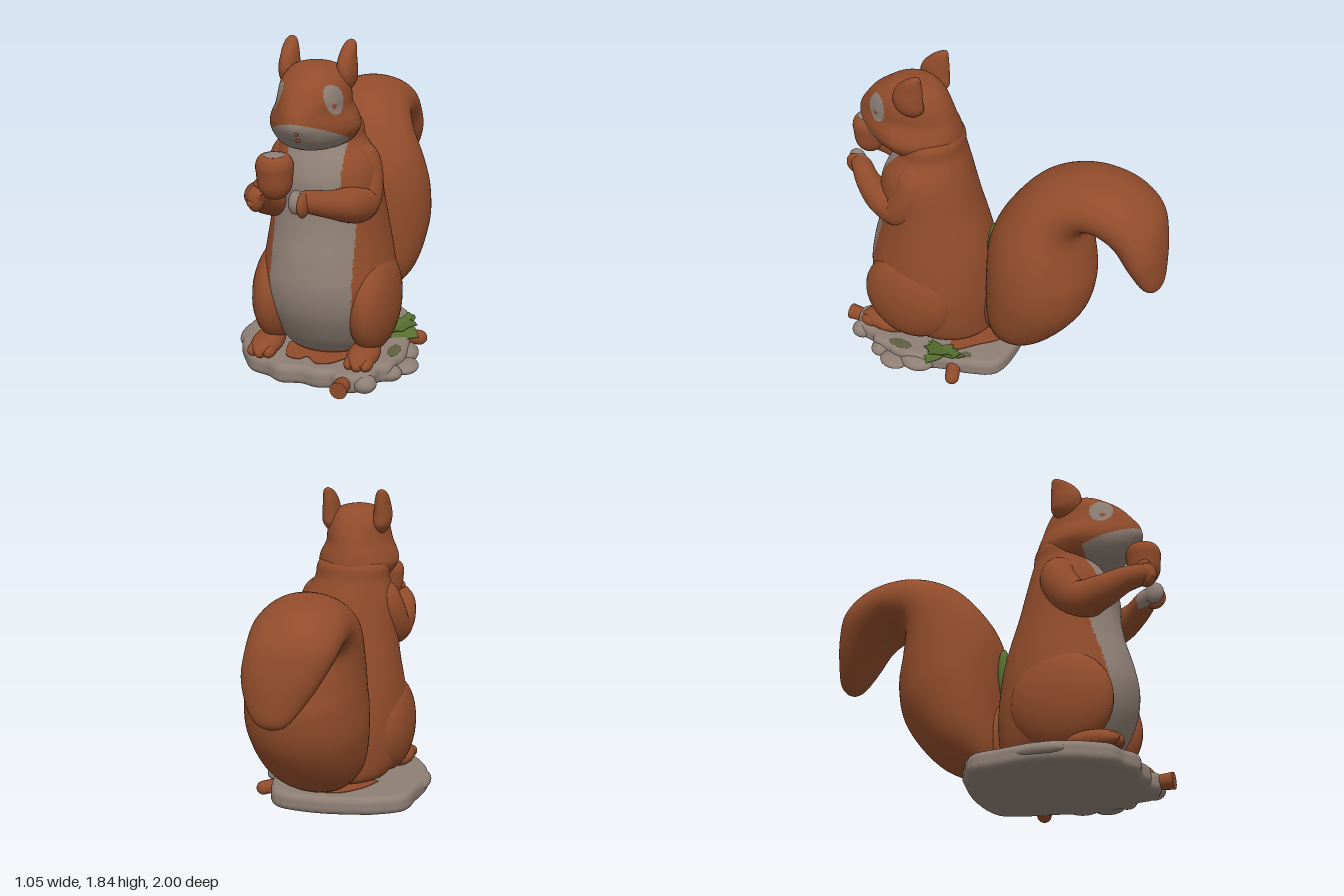
import * as THREE from 'three';

const material = (name, color) => {
  const m = new THREE.MeshStandardMaterial({ color });
  m.name = name;
  return m;
};

// Catmull-Rom blend through a list of number rows
function sample(rows, t) {
  const f = t * (rows.length - 1), i = Math.min(Math.floor(f), rows.length - 2), u = f - i;
  const at = k => rows[Math.max(0, Math.min(rows.length - 1, k))];
  const [a, b, c, d] = [at(i - 1), at(i), at(i + 1), at(i + 2)];
  return b.map((_, k) => 0.5 * (2 * b[k] + (c[k] - a[k]) * u
    + (2 * a[k] - 5 * b[k] + 4 * c[k] - d[k]) * u * u
    + (3 * b[k] - a[k] - 3 * c[k] + d[k]) * u * u * u));
}

// Skin of closed rings; point(t, angle) gives a position, pick gives each face's colour
function skin(point, steps, sides, pick) {
  const pos = [], faces = [[], []], v = [];
  for (let i = 0; i <= steps; i++)
    for (let j = 0; j < sides; j++) {
      const p = point(i / steps, j / sides * Math.PI * 2);
      v.push(p);
      pos.push(p.x, p.y, p.z);
    }
  const tris = [];
  for (let i = 0; i < steps; i++)
    for (let j = 0; j < sides; j++) {
      const k = (j + 1) % sides, a = i * sides + j, b = i * sides + k, c = a + sides, d = b + sides;
      tris.push([a, c, b], [b, c, d]);
    }
  // keep faces outward by the sign of the volume
  let volume = 0;
  const cross = new THREE.Vector3();
  for (const [a, b, c] of tris) volume += v[a].dot(cross.crossVectors(v[b], v[c]));
  for (const [a, b, c] of tris) {
    const mid = v[a].clone().add(v[b]).add(v[c]).divideScalar(3);
    faces[pick && pick(mid) ? 1 : 0].push(...(volume < 0 ? [a, c, b] : [a, b, c]));
  }
  const g = new THREE.BufferGeometry();
  g.setAttribute('position', new THREE.Float32BufferAttribute(pos, 3));
  g.setIndex([...faces[0], ...faces[1]]);
  g.addGroup(0, faces[0].length, 0);
  g.addGroup(faces[0].length, faces[1].length, 1);
  g.computeVertexNormals();
  return g;
}

// Stacked rings: [y, back z, front z, centre x, half width, front taper]
const stack = (rows, steps, sides, pick) => skin((t, a) => {
  const [y, zb, zf, cx, hw, taper] = sample(rows, t), s = Math.sin(a);
  return new THREE.Vector3(cx + Math.max(hw, 0.001) * Math.cos(a) * (1 - taper * Math.max(0, s)),
    y, (zb + zf) / 2 + (zf - zb) / 2 * s);
}, steps, sides, pick);

// Round limb along points: [x, y, z, radius]
function limb(rows, pick) {
  return skin((t, a) => {
    const [x, y, z, r] = sample(rows, t);
    const p = sample(rows, Math.max(0, t - 0.02)), q = sample(rows, Math.min(1, t + 0.02));
    const dir = new THREE.Vector3(q[0] - p[0], q[1] - p[1], q[2] - p[2]).normalize();
    const side = new THREE.Vector3(1, 0.1, 0.25).cross(dir).normalize();
    const up = dir.clone().cross(side);
    return new THREE.Vector3(x, y, z).addScaledVector(side, r * Math.cos(a)).addScaledVector(up, r * Math.sin(a));
  }, 48, 28, pick);
}

export function createModel() {
  const fur = material('russet fur', 0x914c2b);
  const pale = material('pale grey', 0x8e7f75);
  const green = material('leaf green', 0x566f30);
  green.side = THREE.DoubleSide;
  const moss = material('moss', 0x5f6040);
  const model = new THREE.Group();
  const add = (name, geometry, mat, x = 0, y = 0, z = 0) => {
    const m = new THREE.Mesh(geometry, mat);
    m.name = name;
    m.position.set(x, y, z);
    model.add(m);
    return m;
  };
  const blob = (name, mat, x, y, z, rx, ry, rz) =>
    add(name, new THREE.SphereGeometry(1, 32, 20), mat, x, y, z).scale.set(rx, ry, rz);

  // Torso with pale bib
  add('torso', stack([
    [0.12, 0.1, 0.6, 0, 0.24, 0], [0.16, 0.04, 0.63, 0, 0.29, 0], [0.25, 0.03, 0.7, 0, 0.34, 0],
    [0.4, 0.02, 0.775, 0, 0.365, -0.05], [0.55, 0.03, 0.8, 0, 0.365, -0.05], [0.7, 0.05, 0.78, 0, 0.345, 0],
    [0.85, 0.09, 0.74, 0, 0.32, 0], [1, 0.14, 0.715, 0, 0.3, 0], [1.12, 0.175, 0.715, 0, 0.292, 0],
    [1.22, 0.205, 0.68, -0.005, 0.272, 0], [1.32, 0.24, 0.62, -0.025, 0.225, 0],
    [1.42, 0.27, 0.58, -0.03, 0.195, 0], [1.48, 0.42, 0.43, -0.03, 0.01, 0],
  ], 110, 140, p => p.z > 0.42 && p.y > 0.15 && Math.abs(p.x + 0.01) < (p.y < 1.05 ? 0.23 : 0.155)), [fur, pale]);

  // Head with pale muzzle and eye patches
  const eye = p => Math.abs(p.x + 0.03) > 0.07 && Math.hypot((p.z - 0.69) / 0.062, (p.y - 1.58) / 0.075) < 1;
  add('head', stack([
    [1.295, 0.44, 0.45, -0.03, 0.005, 0], [1.3, 0.3, 0.66, -0.03, 0.12, 0], [1.325, 0.26, 0.755, -0.035, 0.185, 0.1],
    [1.365, 0.26, 0.815, -0.035, 0.22, 0.2], [1.41, 0.26, 0.855, -0.035, 0.24, 0.28],
    [1.46, 0.27, 0.883, -0.035, 0.23, 0.33], [1.52, 0.29, 0.872, -0.035, 0.2, 0.27],
    [1.58, 0.31, 0.83, -0.03, 0.188, 0.14], [1.64, 0.34, 0.78, -0.03, 0.175, 0.08],
    [1.69, 0.38, 0.71, -0.03, 0.145, 0], [1.725, 0.44, 0.65, -0.03, 0.1, 0], [1.743, 0.56, 0.565, -0.03, 0.002, 0],
  ], 120, 140, p => {
    const dot = Math.hypot(p.z - 0.7, p.y - 1.55) < 0.014;
    const muzzle = p.z > 0.59 && p.y < 1.49 - (0.885 - p.z) * 0.45;
    return muzzle || (eye(p) && !dot);
  }), [fur, pale]);
  for (const [y, z] of [[1.4, 0.847], [1.44, 0.873]]) blob('noseSpot', fur, -0.02, y, z, 0.012, 0.012, 0.006);

  for (const s of [-1, 1]) {
    const side = s > 0 ? 'left' : 'right', ox = -0.035;
    // Ears, haunches and feet
    add(side + 'Ear', stack([
      [1.58, 0.44, 0.54, ox + s * 0.14, 0.03, 0], [1.63, 0.4, 0.57, ox + s * 0.15, 0.053, 0],
      [1.69, 0.4, 0.58, ox + s * 0.157, 0.053, 0], [1.75, 0.4, 0.56, ox + s * 0.157, 0.046, 0],
      [1.8, 0.405, 0.51, ox + s * 0.16, 0.038, 0], [1.83, 0.41, 0.46, ox + s * 0.162, 0.024, 0],
      [1.842, 0.43, 0.432, ox + s * 0.163, 0.002, 0],
    ], 30, 28), fur);
    blob(side + 'Haunch', fur, s * 0.27, 0.42, 0.46, 0.137, 0.285, 0.285);
    const fx = s > 0 ? 0.26 : -0.29;
    blob(side + 'Foot', fur, fx, 0.165, 0.63, 0.085, 0.06, 0.16);
    for (const k of [-1, 0, 1])
      blob(side + 'Toe', fur, fx + k * 0.045, 0.155, 0.74 - Math.abs(k) * 0.015, 0.034, 0.035, 0.06);
  }

  // Arms
  add('leftArm', limb([
    [0.11, 1.32, 0.44, 0.01], [0.168, 1.23, 0.44, 0.095], [0.198, 1.12, 0.45, 0.108], [0.198, 1.005, 0.52, 0.115],
    [0.18, 1.02, 0.66, 0.095], [0.12, 1.055, 0.78, 0.072], [0.04, 1.09, 0.87, 0.06], [0, 1.1, 0.93, 0.04],
    [-0.01, 1.11, 0.96, 0.003],
  ], p => p.x < 0.02 && p.z > 0.82), [fur, pale]);
  add('rightArm', limb([
    [-0.15, 1.33, 0.44, 0.01], [-0.192, 1.24, 0.44, 0.095], [-0.232, 1.12, 0.46, 0.11], [-0.24, 1.01, 0.55, 0.115],
    [-0.255, 1.03, 0.69, 0.095], [-0.25, 1.08, 0.82, 0.072], [-0.22, 1.11, 0.92, 0.058],
    [-0.19, 1.13, 0.96, 0.035], [-0.17, 1.14, 0.98, 0.003],
  ]), fur);
  blob('rightPalm', fur, -0.215, 1.105, 0.94, 0.045, 0.07, 0.055);
  for (const k of [0, 1, 2])
    blob('rightFinger', fur, -0.225 + k * 0.012, 1.09 + k * 0.045, 0.965 - k * 0.02, 0.028, 0.028, 0.035);
  blob('leftPalm', pale, -0.008, 1.1, 0.925, 0.036, 0.062, 0.055);
  blob('leftHandBack', fur, 0.028, 1.085, 0.92, 0.03, 0.065, 0.06);

  // Nut with pale top
  const nut = [[0, -0.14], [0.05, -0.125], [0.085, -0.075], [0.094, 0], [0.097, 0.04], [0.086, 0.075], [0.062, 0.093], [0, 0.095]];
  add('nut', new THREE.LatheGeometry(new THREE.SplineCurve(nut.map(p => new THREE.Vector2(...p))).getPoints(30), 32), fur, -0.125, 1.24, 0.905);
  blob('nutTop', pale, -0.125, 1.335, 0.915, 0.055, 0.005, 0.055);

  // Tail: [upper z, upper y, lower z, lower y, centre x, half width]
  const tail = [
    [0.0, 0.2, -0.001, 0.199, 0, 0.002], [0.03, 0.32, -0.06, 0.14, 0, 0.13], [0.025, 0.5, -0.33, 0.24, 0.02, 0.29],
    [0.02, 0.75, -0.54, 0.48, 0.03, 0.35], [0, 0.95, -0.6, 0.7, 0.03, 0.345], [-0.08, 1.13, -0.57, 0.87, 0.01, 0.32],
    [-0.25, 1.32, -0.53, 1, -0.03, 0.28], [-0.5, 1.41, -0.54, 1.06, -0.05, 0.25], [-0.75, 1.37, -0.6, 1.09, -0.055, 0.25],
    [-0.92, 1.25, -0.7, 1.04, -0.05, 0.235], [-0.98, 1.1, -0.8, 0.93, -0.02, 0.2], [-1, 0.92, -0.88, 0.83, 0, 0.13],
    [-0.995, 0.83, -0.93, 0.79, 0, 0.07], [-0.968, 0.79, -0.967, 0.789, 0, 0.002],
  ];
  add('tail', skin((t, a) => {
    const [z1, y1, z2, y2, cx, hw] = sample(tail, t), s = Math.sin(a);
    return new THREE.Vector3(cx + hw * Math.cos(a), (y1 + y2) / 2 + (y1 - y2) / 2 * s, (z1 + z2) / 2 + (z1 - z2) / 2 * s);
  }, 110, 64), fur);

  // Flat plates lying on the ground plane, outlined by [x, z] points
  const plate = (points, options, smooth = true) => {
    const v = points.map(([x, z]) => new THREE.Vector2(x, -z));
    const outline = smooth ? new THREE.SplineCurve([...v, v[0]]).getPoints(100).slice(0, -1) : v;
    return new THREE.ExtrudeGeometry(new THREE.Shape(outline), options).rotateX(-Math.PI / 2);
  };
  // Rock slab with rounded lumps along its rim
  add('rockBase', plate([
    [-0.28, -0.08], [-0.45, 0.03], [-0.48, 0.2], [-0.5, 0.4], [-0.46, 0.56], [-0.41, 0.65], [-0.34, 0.74], [-0.24, 0.77],
    [-0.15, 0.82], [-0.04, 0.8], [0.05, 0.82], [0.13, 0.8], [0.2, 0.84], [0.32, 0.78], [0.35, 0.67], [0.4, 0.63],
    [0.41, 0.53], [0.43, 0.47], [0.42, 0.32], [0.38, 0.2], [0.34, 0.02], [0.26, -0.12], [0, -0.14],
  ], { depth: 0.03, bevelThickness: 0.04, bevelSize: 0.035, bevelOffset: -0.02, bevelSegments: 6 }), pale, 0, 0.06, 0);
  for (const [x, y, z, rx, ry, rz] of [
    [0.45, 0.052, 0.48, 0.075, 0.034, 0.09], [0.39, 0.06, 0.6, 0.075, 0.045, 0.06], [0.4, 0.065, 0.35, 0.09, 0.05, 0.11],
    [0.31, 0.07, 0.78, 0.065, 0.05, 0.065], [-0.46, 0.085, 0.4, 0.07, 0.046, 0.15],
  ]) blob('rockLump', pale, x, y, z, rx, ry, rz);

  // Earth and moss patches
  const thin = { depth: 0.005, bevelEnabled: false };
  add('earthPatch', plate([[-0.2, 0.55], [-0.16, 0.7], [-0.08, 0.73], [-0.04, 0.69], [0.03, 0.75], [0.12, 0.71], [0.19, 0.55], [0, 0.5]], thin), fur, 0, 0.129, 0);
  add('rearEarthPatch', plate([[-0.26, 0.2], [-0.2, 0.06], [-0.08, -0.06], [0.08, -0.06], [0.2, 0.05], [0.29, 0.14], [0.29, 0.2]], thin), fur, 0, 0.129, 0);
  blob('mossPatch', moss, 0.385, 0.13, 0.47, 0.035, 0.0045, 0.075);
  blob('mossPatch', moss, 0.3, 0.13, 0.07, 0.02, 0.0045, 0.03);

  // Twigs
  add('frontTwig', new THREE.CylinderGeometry(0.048, 0.036, 0.16, 14), fur, 0.21, 0.08, 0.84).rotation.x = Math.PI / 2;
  add('sideTwig', new THREE.CapsuleGeometry(0.042, 0.12, 6, 16), fur, 0.38, 0.06, 0.12).rotation.set(0, 0.35, Math.PI / 2 - 0.2);

  // Leaves
  const leaf = plate([[0.28, 0.31], [0.31, 0.22], [0.29, 0.13], [0.32, 0.12], [0.35, 0.05], [0.4, 0.08], [0.39, 0.15],
    [0.42, 0.17], [0.46, 0.24], [0.41, 0.27], [0.39, 0.31], [0.34, 0.29]], thin, false);
  leaf.translate(-0.36, 0, -0.2);
  add('groundLeaf', leaf, green, 0.36, 0.16, 0.2).rotation.z = 0.3;
  add('lowerLeaf', leaf, green, 0.37, 0.145, 0.22).rotation.set(0.25, 0, -0.15);
  blob('tailLeaf', green, -0.01, 0.75, 0.035, 0.055, 0.155, 0.035);
  blob('tailRoot', fur, 0, 0.35, 0.02, 0.12, 0.22, 0.06);

  return model;
}
